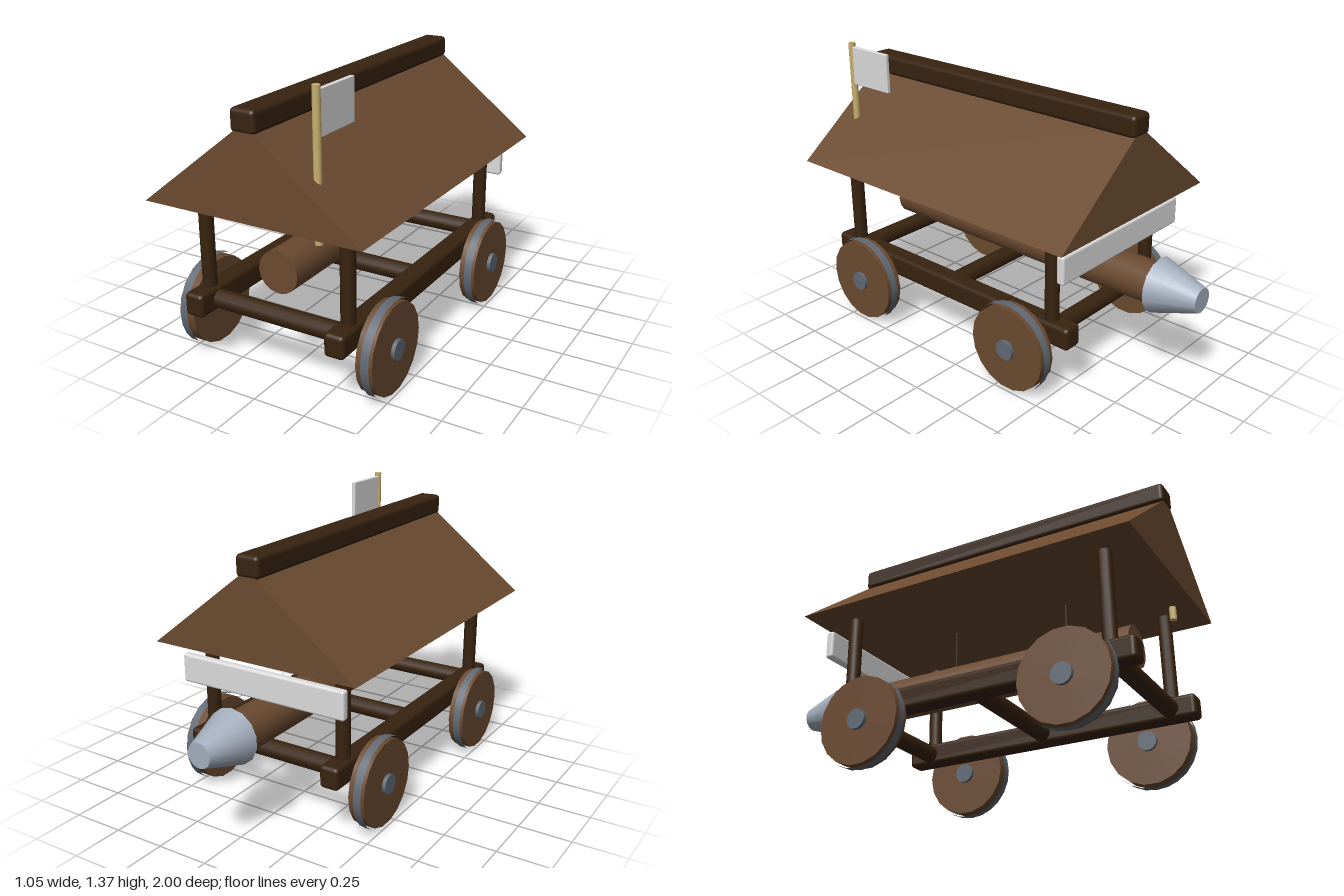
import * as THREE from 'three';
import { RoundedBoxGeometry } from 'three/addons/geometries/RoundedBoxGeometry.js';

const paint = (name, color) => {
  const m = new THREE.MeshStandardMaterial({ color });
  m.name = name;
  return m;
};

export function createModel() {
  const wood = paint('brown wood', 0x6b4a30);
  const darkWood = paint('dark wood', 0x38230f);
  const steel = paint('pale steel', 0xa4aebd);
  const iron = paint('dark iron', 0x606a75);
  const white = paint('white', 0xdcdcdc);
  const straw = paint('pole wood', 0xc8b070);

  const model = new THREE.Group();
  model.name = 'batteringRam';

  const add = (name, geometry, material, x, y, z, parent = model) => {
    const mesh = new THREE.Mesh(geometry, material);
    mesh.name = name;
    mesh.position.set(x, y, z);
    parent.add(mesh);
    return mesh;
  };
  const box = (w, h, d, r) => new RoundedBoxGeometry(w, h, d, 3, r);
  const rod = (r, length, sides = 12) => new THREE.CylinderGeometry(r, r, length, sides);

  // Gabled roof, a solid prism, with its ridge beam
  const gable = new THREE.Shape([
    new THREE.Vector2(-0.525, 0.79),
    new THREE.Vector2(0.525, 0.79),
    new THREE.Vector2(0, 1.2),
  ]);
  const roof = new THREE.ExtrudeGeometry(gable, { depth: 1.645, bevelEnabled: false });
  add('roof', roof, wood, 0, 0, -0.65);
  add('ridgeBeam', box(0.118, 0.1, 1.655, 0.02), darkWood, 0, 1.21, 0.1725);

  // Frame: side rails, posts and cross beams
  for (const side of [-1, 1]) {
    add('sideRail', box(0.095, 0.108, 1.53, 0.02), darkWood, side * 0.355, 0.316, 0.175);
    for (const z of [0.818, -0.468]) {
      add('post', rod(0.033, 0.5), darkWood, side * 0.356, 0.56, z);
    }
  }
  for (const z of [0.818, 0.175, -0.468]) {
    add('crossBeam', rod(0.043, 0.68).rotateZ(Math.PI / 2), darkWood, 0, 0.313, z);
  }

  // Wheels: wooden disc, open iron tyre and hub
  for (const side of [-1, 1]) {
    for (const z of [0.667, -0.32]) {
      const wheel = new THREE.Group();
      wheel.name = 'wheel';
      wheel.position.set(side * 0.456, 0.215, z);
      model.add(wheel);
      add('wheelDisc', rod(0.205, 0.077, 18).rotateZ(Math.PI / 2), wood, 0, 0, 0, wheel);
      const tyre = new THREE.CylinderGeometry(0.215, 0.215, 0.038, 24, 1, true);
      add('tyre', tyre.rotateZ(Math.PI / 2), iron, side * 0.009, 0, 0, wheel);
      add('hub', rod(0.047, 0.112, 14).rotateZ(Math.PI / 2), iron, 0, 0, 0, wheel);
    }
  }

  // Hanging log with a blunt metal head at the rear, and its ropes
  add('ramLog', rod(0.098, 1.59, 16).rotateX(Math.PI / 2), wood, 0, 0.502, 0.005);
  const head = new THREE.CylinderGeometry(0.13, 0.058, 0.22, 14).rotateX(Math.PI / 2);
  add('ramHead', head, steel, 0, 0.502, -0.89);
  for (const z of [0.47, -0.123]) {
    add('rope', rod(0.006, 0.21, 8), darkWood, 0, 0.695, z);
  }

  // White board across the rear
  add('rearBoard', box(0.86, 0.135, 0.04, 0.012), white, 0, 0.663, -0.566);

  // Flag on a pole through the roof
  add('flagPole', rod(0.017, 0.64), straw, 0.27, 1.045, 0.89);
  add('flag', box(0.02, 0.19, 0.252, 0.004), white, 0.27, 1.252, 0.757);

  return model;
}
